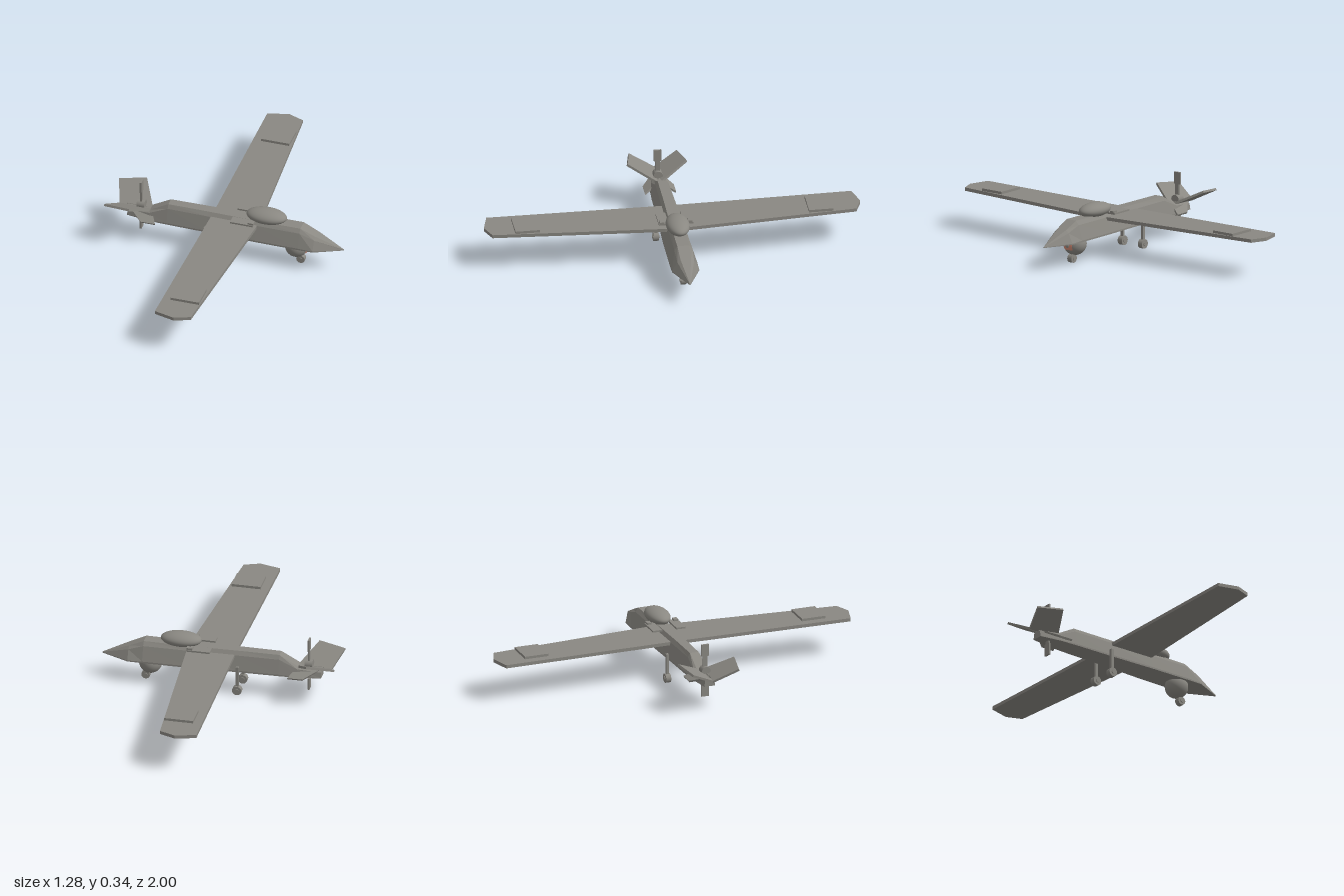
import * as THREE from 'three';

const grey = new THREE.MeshStandardMaterial({ color: 0x8a8882 });
grey.name = 'airframe grey';
const salmon = new THREE.MeshStandardMaterial({ color: 0xd08a74 });
salmon.name = 'sensor salmon';

function add(parent, name, geometry, material = grey, pos = [0, 0, 0]) {
  const mesh = new THREE.Mesh(geometry, material);
  mesh.name = name;
  mesh.position.set(...pos);
  parent.add(mesh);
  return mesh;
}

// Flat plate from an [x, z] outline, centred on its thickness
function plate(outline, thickness) {
  const shape = new THREE.Shape(outline.map(([x, z]) => new THREE.Vector2(x, -z)));
  const g = new THREE.ExtrudeGeometry(shape, { depth: thickness, bevelEnabled: false });
  g.translate(0, 0, -thickness / 2);
  return g.rotateX(-Math.PI / 2);
}

// Faceted body through rings of equal point count, ordered along +x
function loft(rings) {
  const pos = [];
  const tri = (...pts) => pts.forEach((p) => pos.push(...p));
  const n = rings[0].length;
  for (let i = 0; i < rings.length - 1; i++) {
    for (let j = 0; j < n; j++) {
      const k = (j + 1) % n;
      const [a, b, c, d] = [rings[i][j], rings[i][k], rings[i + 1][k], rings[i + 1][j]];
      tri(a, b, c);
      tri(a, c, d);
    }
  }
  const first = rings[0], last = rings[rings.length - 1];
  for (let j = 1; j < n - 1; j++) {
    tri(first[0], first[j + 1], first[j]);
    tri(last[0], last[j], last[j + 1]);
  }
  const g = new THREE.BufferGeometry();
  g.setAttribute('position', new THREE.Float32BufferAttribute(pos, 3));
  g.computeVertexNormals();
  return g;
}

// Fuselage section: flat floor, sloping sides, chamfered shoulders
function section([x, top, bottomHalf, shoulderHalf, topHalf]) {
  const y0 = 0.125, h = top - y0;
  const side = [
    [bottomHalf, y0], [bottomHalf, y0 + h * 0.08],
    [shoulderHalf, y0 + h * 0.8], [topHalf, top],
  ];
  const right = side.map(([z, y]) => [x, y, -z]);
  const left = side.map(([z, y]) => [x, y, z]).reverse();
  return [...right, ...left];
}

function wheel(parent, name, x, y, z, radius, width) {
  const tyre = new THREE.CylinderGeometry(radius, radius, width, 24).rotateX(Math.PI / 2);
  add(parent, name, tyre, grey, [x, y, z]);
  const hub = new THREE.CylinderGeometry(radius * 0.45, radius * 0.45, width + 0.008, 12);
  add(parent, name + 'Hub', hub.rotateX(Math.PI / 2), grey, [x, y, z]);
}

export function createModel() {
  const model = new THREE.Group();
  model.name = 'aircraft';

  add(model, 'fuselage', loft([
    [-0.545, 0.165, 0.03, 0.025, 0.015],
    [-0.42, 0.18, 0.05, 0.04, 0.025],
    [-0.32, 0.235, 0.055, 0.036, 0.024],
    [-0.1, 0.235, 0.06, 0.04, 0.026],
    [0.17, 0.235, 0.07, 0.046, 0.032],
    [0.41, 0.235, 0.073, 0.048, 0.032],
    [0.49, 0.198, 0.072, 0.045, 0.028],
    [0.64, 0.13, 0.003, 0.002, 0.001],
  ].map(section)));

  // One-piece wing with pointed tips
  add(model, 'wing', plate([
    [-0.08, 0], [-0.092, 0.97], [0.02, 1], [0.105, 0.967], [0.175, 0.06],
    [0.175, -0.06], [0.105, -0.967], [0.02, -1], [-0.092, -0.97],
  ], 0.018), grey, [0, 0.206, 0]);

  // Radome on the back
  const dome = add(model, 'radome', new THREE.SphereGeometry(1, 40, 24), grey, [0.215, 0.257, 0]);
  dome.scale.set(0.11, 0.038, 0.062);

  // Sensor ball under the nose with its window
  add(model, 'sensorBall', new THREE.SphereGeometry(0.062, 32, 24), grey, [0.38, 0.104, 0]);
  const windowPatch = new THREE.SphereGeometry(0.066, 16, 12, Math.PI - 0.45, 0.9, 1.22, 0.75);
  add(model, 'sensorWindow', windowPatch, salmon, [0.38, 0.104, 0]);
  const lens = new THREE.CylinderGeometry(0.011, 0.011, 0.006, 20).rotateZ(Math.PI / 2);
  add(model, 'sensorLens', lens, grey, [0.445, 0.102, 0]);

  for (const s of [1, -1]) {
    const tag = s > 0 ? 'front' : 'rear';
    // Raised panels near the tips and boxes at the wing root
    add(model, tag + 'WingPanel', new THREE.BoxGeometry(0.155, 0.015, 0.13), grey, [0.033, 0.221, s * 0.78]);
    add(model, tag + 'RootBox', new THREE.BoxGeometry(0.125, 0.009, 0.052), grey, [0.103, 0.236, s * 0.066]);
    add(model, tag + 'RootCap', new THREE.BoxGeometry(0.032, 0.01, 0.024), grey, [0.152, 0.245, s * 0.075]);

    // V-tail and the short drooping fins below it
    const tail = plate([[-0.595, 0], [-0.64, s * 0.145], [-0.495, s * 0.178], [-0.41, 0]], 0.012);
    add(model, tag + 'TailFin', tail, grey, [0, 0.166, 0]).rotation.x = -s * 0.47;
    const fin = plate([[-0.555, 0], [-0.455, s * 0.092], [-0.375, s * 0.092], [-0.42, 0]], 0.01);
    add(model, tag + 'LowerFin', fin, grey, [0, 0.174, 0]).rotation.x = s * 0.5;

    // Main landing gear
    add(model, tag + 'MainLeg', new THREE.BoxGeometry(0.016, 0.13, 0.014), grey, [-0.102, 0.095, s * 0.068]);
    wheel(model, tag + 'MainWheel', -0.102, 0.025, s * 0.068, 0.025, 0.028);
  }

  // Nose gear
  add(model, 'noseLeg', new THREE.BoxGeometry(0.014, 0.1, 0.014), grey, [0.405, 0.08, 0]);
  wheel(model, 'noseWheel', 0.405, 0.028, 0, 0.023, 0.028);

  // Pusher propeller
  const propeller = new THREE.Group();
  propeller.name = 'propeller';
  propeller.position.set(-0.475, 0.19, 0);
  model.add(propeller);
  add(propeller, 'hub', new THREE.CylinderGeometry(0.025, 0.025, 0.042, 20).rotateZ(Math.PI / 2));
  for (const s of [1, -1]) {
    add(propeller, 'bladeRoot', new THREE.BoxGeometry(0.01, 0.08, 0.024), grey, [0, s * 0.05, 0]);
    add(propeller, 'bladeTip', new THREE.BoxGeometry(0.01, 0.065, 0.04), grey, [0, s * 0.1125, 0]);
  }
  return model;
}
